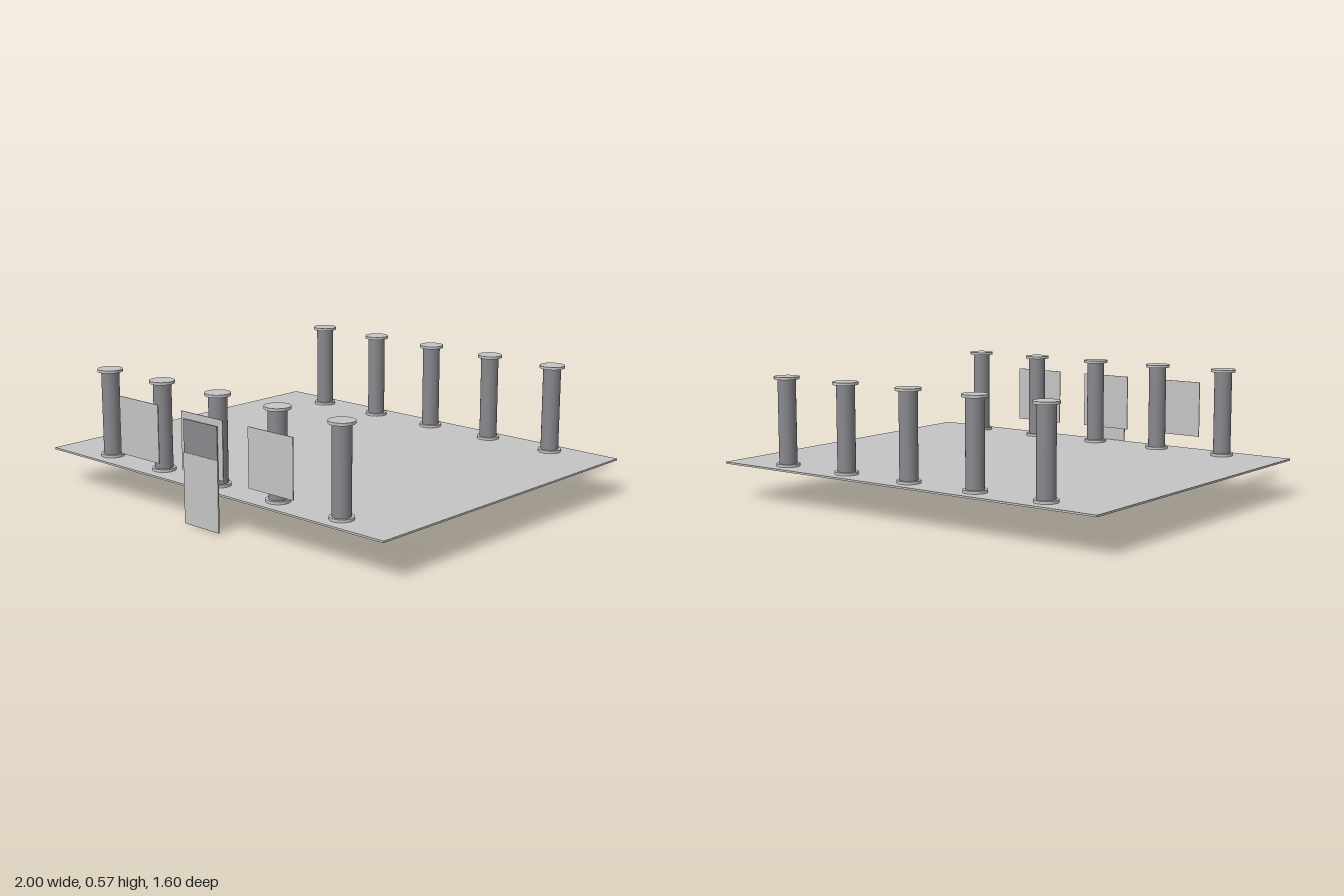
import * as THREE from 'three';

export function createModel() {
  const model = new THREE.Group();
  const lightGrey = new THREE.MeshStandardMaterial({ color: 0xc4c4c4 });
  lightGrey.name = 'light grey';
  const darkGrey = new THREE.MeshStandardMaterial({ color: 0x88888d });
  darkGrey.name = 'dark grey';

  function add(parent, name, geometry, material, x, y, z) {
    const mesh = new THREE.Mesh(geometry, material);
    mesh.name = name;
    mesh.position.set(x, y, z);
    parent.add(mesh);
    return mesh;
  }

  // Thin floor slab
  add(model, 'deck', new THREE.BoxGeometry(2, 0.008, 1.592), lightGrey, 0, 0.164, -0.004);

  // Two rows of five columns, each with a base disc and a cap disc
  const shaft = new THREE.CylinderGeometry(0.04, 0.04, 0.376, 32);
  const base = new THREE.CylinderGeometry(0.052, 0.052, 0.012, 32);
  const cap = new THREE.CylinderGeometry(0.056, 0.056, 0.012, 32);
  for (const z of [-0.705, 0.695]) {
    for (let i = -2; i <= 2; i++) {
      const column = new THREE.Group();
      column.name = 'column';
      column.position.set(i * 0.35, 0, z);
      add(column, 'columnBase', base, lightGrey, 0, 0.174, 0);
      add(column, 'columnShaft', shaft, darkGrey, 0, 0.368, 0);
      add(column, 'columnCap', cap, lightGrey, 0, 0.561, 0);
      model.add(column);
    }
  }

  // Three upright panels along the front edge
  const panel = new THREE.BoxGeometry(0.252, 0.258, 0.004);
  for (const x of [-0.4, 0, 0.4]) add(model, 'frontPanel', panel, lightGrey, x, 0.356, 0.787);

  // Centre plate hanging below the deck, with a dark pane above it
  add(model, 'lowerPlate', new THREE.BoxGeometry(0.208, 0.312, 0.006), lightGrey, 0, 0.156, 0.797);
  add(model, 'darkPane', new THREE.BoxGeometry(0.204, 0.144, 0.004), darkGrey, 0, 0.384, 0.796);

  return model;
}
